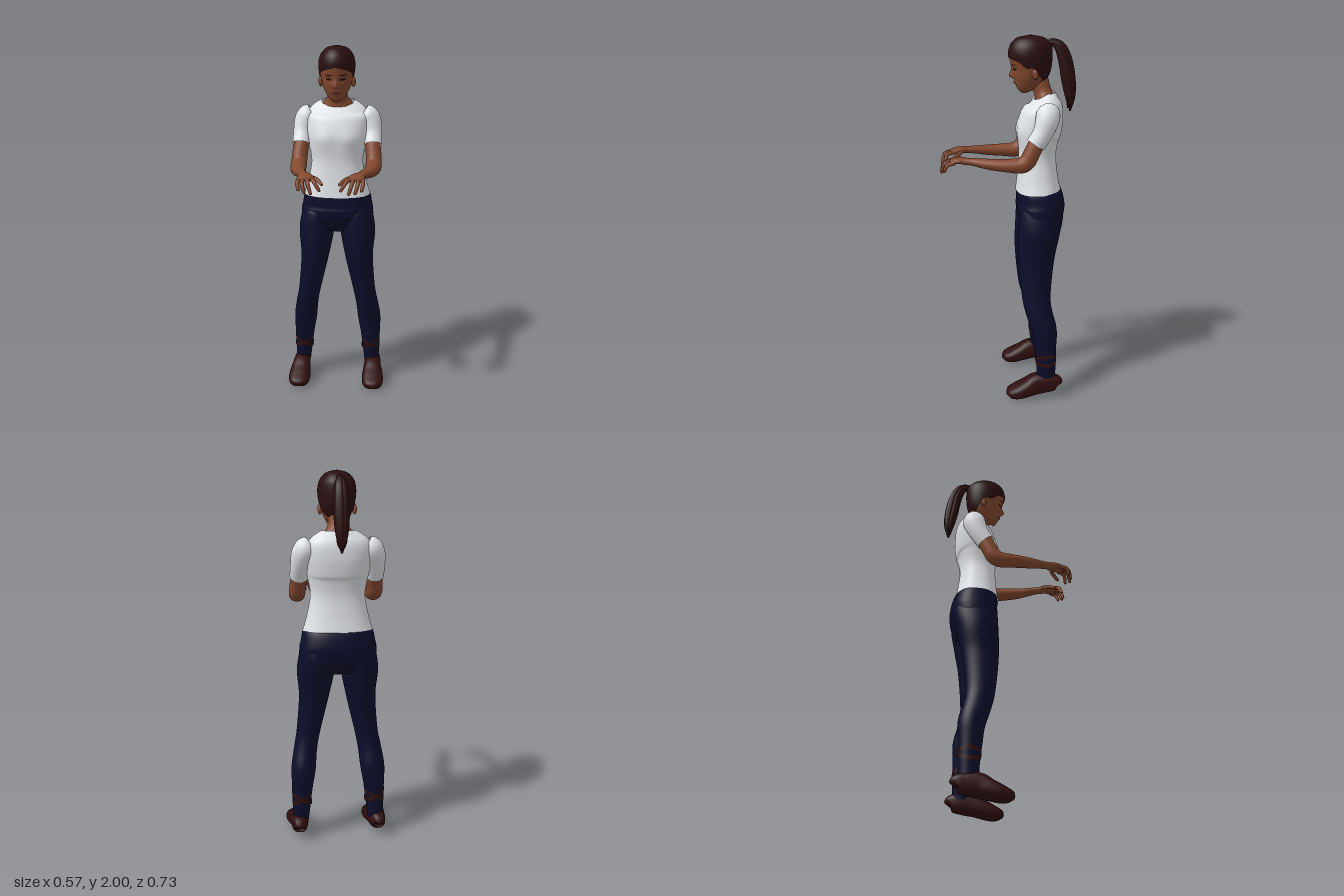
import * as THREE from 'three';

const paint = (name, color, side = THREE.FrontSide) => {
  const m = new THREE.MeshStandardMaterial({ color, side });
  m.name = name;
  return m;
};

// Smooth interpolation of rows [key, a, b, ...] at a given key
function at(rows, k) {
  const last = rows.length - 1;
  k = Math.min(Math.max(k, rows[0][0]), rows[last][0]);
  let i = 0;
  while (i < last - 1 && k > rows[i + 1][0]) i++;
  const p = rows[i], q = rows[i + 1], o = rows[Math.max(i - 1, 0)], r = rows[Math.min(i + 2, last)];
  const h = q[0] - p[0], t = (k - p[0]) / h;
  return p.slice(1).map((a, c) => {
    const b = q[c + 1];
    const ma = (b - o[c + 1]) / (q[0] - o[0]) * h, mb = (r[c + 1] - a) / (r[0] - p[0]) * h;
    return a + t * ma + t * t * (3 * (b - a) - 2 * ma - mb) + t * t * t * (2 * (a - b) + ma + mb);
  });
}

// Surface of n + 1 closed rings with m points each; fn(u, angle) gives [x, y, z]
function surface(name, material, n, m, fn) {
  const pos = [], idx = [];
  for (let i = 0; i <= n; i++) {
    for (let j = 0; j < m; j++) {
      pos.push(...fn(i / n, j / m * Math.PI * 2));
      if (i === n) continue;
      const a = i * m + j, b = i * m + (j + 1) % m;
      idx.push(a, b, a + m, b, b + m, a + m);
    }
  }
  const g = new THREE.BufferGeometry();
  g.setAttribute('position', new THREE.Float32BufferAttribute(pos, 3));
  g.setIndex(idx);
  g.computeVertexNormals();
  const mesh = new THREE.Mesh(g, material);
  mesh.name = name;
  return mesh;
}

// Body part swept through rows [x, y, z, side radius, other radius]
function limb(name, material, rows, { m = 28, power = 2, ripple = 0, warp = null } = {}) {
  const keyed = rows.map((r, i) => [i, r[0], r[1], r[2], r[3], r[4] ?? r[3]]);
  const end = rows.length - 1;
  const round = (v) => Math.sign(v) * Math.abs(v) ** (2 / power);
  return surface(name, material, end * 6, m, (u, a) => {
    const t = u * end, c = at(keyed, t);
    const p = at(keyed, t - 0.05), q = at(keyed, t + 0.05);
    const T = new THREE.Vector3(q[0] - p[0], q[1] - p[1], q[2] - p[2]).normalize();
    const N = new THREE.Vector3(1, 0, 0).addScaledVector(T, -T.x).normalize();
    const B = new THREE.Vector3().crossVectors(T, N);
    const k = 1 + ripple * Math.cos(a * 9);
    const v = new THREE.Vector3(c[0], c[1], c[2])
      .addScaledVector(N, round(Math.cos(a)) * Math.max(c[3], 0) * k)
      .addScaledVector(B, round(Math.sin(a)) * Math.max(c[4], 0) * k);
    if (warp) warp(v);
    return [v.x, v.y, v.z];
  });
}

// Head outline: height, front z, back z, half width
const HEAD = [
  [1.70, -0.075, -0.10, 0.012], [1.715, -0.058, -0.14, 0.035], [1.74, -0.045, -0.18, 0.055],
  [1.78, -0.033, -0.21, 0.075], [1.82, -0.024, -0.225, 0.085], [1.86, -0.014, -0.23, 0.092],
  [1.90, -0.008, -0.232, 0.094], [1.94, -0.016, -0.228, 0.086], [1.965, -0.033, -0.212, 0.07],
  [1.985, -0.062, -0.182, 0.045], [1.996, -0.115, -0.125, 0.003],
];
const bell = (d, w) => Math.exp(-((d / w) ** 2));
// Nose, eye sockets and lips as bumps on the face
const relief = (x, y) => 0.024 * bell(x, 0.012) * bell(y - 1.788, y > 1.788 ? 0.028 : 0.01)
  - 0.007 * bell(Math.abs(x) - 0.036, 0.018) * bell(y - 1.826, 0.013)
  + 0.005 * bell(x, 0.025) * bell(y - 1.755, 0.009);

function headPoint(y, a, grow = 0) {
  const [front, back, w] = at(HEAD, y);
  const x = (w + grow) * Math.sin(a);
  const z = (front + back) / 2 + ((front - back) / 2 + grow) * Math.cos(a);
  return [x, y + grow * 0.66, z + (Math.cos(a) > 0 && !grow ? relief(x, y) : 0)];
}

// Thin painted oval lying on the face
function facePatch(name, material, cx, cy, w, h, slant = 0) {
  return surface(name, material, 5, 20, (u, a) => {
    const x = cx + (1 - u) * w * Math.cos(a);
    const y = cy + (1 - u) * h * Math.sin(a) + slant * (x - cx);
    const [front, back, half] = at(HEAD, y);
    const z = (front + back) / 2 + (front - back) / 2 * Math.sqrt(1 - (x / half) ** 2);
    return [x, y, z + relief(x, y) + 0.0025];
  });
}

export function createModel() {
  const skin = paint('skin', 0x84492f);
  const hair = paint('hair', 0x2a0f10, THREE.DoubleSide);
  const shirt = paint('shirt white', 0xe6e9ed, THREE.DoubleSide);
  const navy = paint('trouser navy', 0x0c0d2a, THREE.DoubleSide);
  const leather = paint('shoe brown', 0x300f0f, THREE.DoubleSide);
  const dark = paint('eye dark', 0x140908);
  const lip = paint('lip', 0x5e2c22);
  const model = new THREE.Group();
  model.name = 'woman';
  const add = (...parts) => model.add(...parts);

  // Head, neck and painted face
  add(surface('head', skin, 70, 72, (u, a) => headPoint(1.70 + 0.296 * Math.sin(u * Math.PI / 2), a)));
  add(limb('neck', skin, [
    [0, 1.61, -0.2, 0.08, 0.045], [0, 1.665, -0.197, 0.086, 0.05], [0, 1.69, -0.193, 0.078, 0.048],
    [0, 1.712, -0.186, 0.06, 0.047], [0, 1.75, -0.175, 0.052, 0.047], [0, 1.82, -0.155, 0.05, 0.05],
  ]));
  add(facePatch('lips', lip, 0, 1.755, 0.024, 0.008));

  // Hair drawn back from the hairline into a ponytail
  const hairline = [[0, 1.885], [0.9, 1.862], [1.3, 1.83], [1.6, 1.832], [1.9, 1.80], [2.4, 1.76], [Math.PI, 1.74]];
  add(surface('hairCap', hair, 28, 64, (u, a) => {
    const low = at(hairline, a > Math.PI ? 2 * Math.PI - a : a)[0];
    return headPoint(low + (1.996 - low) * Math.sin(u * Math.PI / 2), a, 0.006);
  }));
  add(limb('ponytail', hair, [
    [0, 1.955, -0.21, 0.014, 0.018], [0, 1.962, -0.24, 0.018, 0.02], [0, 1.935, -0.278, 0.03, 0.03],
    [0, 1.87, -0.305, 0.037, 0.036], [0, 1.77, -0.324, 0.038, 0.037], [0, 1.68, -0.336, 0.028, 0.027],
    [0, 1.60, -0.338, 0.004, 0.004],
  ], { m: 54, ripple: 0.06 }));
  for (let i = -2; i <= 2; i++) {
    const z = -0.333 - 0.008 * (i % 2);
    add(limb('ponytailWisp', hair, [
      [i * 0.009, 1.72, z, 0.012], [i * 0.009, 1.66, z, 0.009],
      [i * 0.007, 1.60 + Math.abs(i) * 0.012, z, 0.001],
    ], { m: 8 }));
  }

  // Shirt body with a neckline dipping at the front
  add(limb('shirtBody', shirt, [
    [0, 1.175, -0.167, 0.187, 0.123], [0, 1.25, -0.164, 0.165, 0.111], [0, 1.36, -0.162, 0.145, 0.101],
    [0, 1.45, -0.163, 0.158, 0.11], [0, 1.50, -0.169, 0.168, 0.12], [0, 1.58, -0.187, 0.176, 0.113],
    [0, 1.63, -0.199, 0.17, 0.098], [0, 1.67, -0.2, 0.138, 0.074], [0, 1.70, -0.2, 0.09, 0.055],
  ], { m: 56, power: 2.3, warp: (v) => {
    if (v.z > -0.15) v.z += 0.008 * bell(Math.abs(v.x) - 0.07, 0.045) * bell(v.y - 1.49, 0.05);
    if (v.y > 1.6) v.y -= (v.y - 1.6) * 0.35 * Math.min(Math.max((v.z + 0.2) / 0.055, -0.1), 1);
  } }));

  // Trouser seat
  add(limb('trouserSeat', navy, [
    [0, 1.195, -0.167, 0.176, 0.114], [0, 1.165, -0.169, 0.19, 0.122], [0, 1.12, -0.178, 0.198, 0.13],
    [0, 1.08, -0.18, 0.206, 0.133], [0, 1.02, -0.175, 0.198, 0.122], [0, 0.97, -0.162, 0.12, 0.09],
    [0, 0.95, -0.16, 0.02, 0.03],
  ], { m: 48, power: 2.4 }));

  for (const s of [1, -1]) {
    const side = s > 0 ? 'left' : 'right';
    const half = (name, material, rows, options) =>
      add(limb(side + name, material, rows.map(([x, ...rest]) => [x * s, ...rest]), options));

    // Eye, brow and ear
    add(facePatch(side + 'Eye', dark, s * 0.037, 1.826, 0.017, 0.006, s * 0.1));
    add(facePatch(side + 'Brow', hair, s * 0.039, 1.849, 0.022, 0.0035, s * 0.08));
    const ear = new THREE.Mesh(new THREE.SphereGeometry(1, 16, 12), skin);
    ear.name = side + 'Ear';
    ear.scale.set(0.012, 0.028, 0.017);
    ear.position.set(s * 0.09, 1.805, -0.138);
    ear.rotation.set(0.2, s * -0.3, 0);
    add(ear);

    // Sleeve and bent arm
    half('Sleeve', shirt, [
      [0.14, 1.63, -0.2, 0.045], [0.163, 1.613, -0.2, 0.062], [0.183, 1.58, -0.194, 0.062],
      [0.196, 1.52, -0.172, 0.053], [0.2, 1.457, -0.133, 0.05],
    ]);
    half('Arm', skin, [
      [0.2, 1.51, -0.165, 0.038], [0.2, 1.46, -0.137, 0.043], [0.206, 1.41, -0.112, 0.043],
      [0.208, 1.37, -0.09, 0.044], [0.207, 1.35, -0.055, 0.044, 0.042], [0.202, 1.349, 0.01, 0.043, 0.035],
      [0.186, 1.353, 0.1, 0.037, 0.029], [0.157, 1.362, 0.195, 0.026, 0.02], [0.148, 1.364, 0.24, 0.027, 0.018],
    ]);
    half('Palm', skin, [
      [0.15, 1.364, 0.225, 0.026, 0.018], [0.138, 1.366, 0.255, 0.039, 0.018], [0.13, 1.363, 0.285, 0.043, 0.016],
      [0.129, 1.356, 0.308, 0.038, 0.012], [0.129, 1.352, 0.318, 0.008, 0.003],
    ]);

    // Fingers: base, knuckle, tip
    const fingers = [
      ['LittleFinger', [0.162, 1.357, 0.29], [0.167, 1.345, 0.327], [0.161, 1.312, 0.343]],
      ['RingFinger', [0.14, 1.359, 0.297], [0.142, 1.346, 0.342], [0.129, 1.303, 0.358]],
      ['MiddleFinger', [0.118, 1.36, 0.297], [0.112, 1.347, 0.343], [0.097, 1.299, 0.359]],
      ['IndexFinger', [0.098, 1.36, 0.29], [0.08, 1.35, 0.33], [0.055, 1.311, 0.342]],
      ['Thumb', [0.112, 1.36, 0.248], [0.075, 1.352, 0.268], [0.046, 1.333, 0.3]],
    ];
    for (const [name, base, knuckle, tip] of fingers) {
      const beyond = tip.map((v, i) => v + (v - knuckle[i]) * 0.15);
      half(name, skin, [[...base, 0.012], [...knuckle, 0.0105], [...tip, 0.008], [...beyond, 0.001]], { m: 12 });
    }

    // Trouser leg
    half('TrouserLeg', navy, [
      [0.1, 1.13, -0.178, 0.07, 0.09], [0.112, 1.06, -0.178, 0.09, 0.118], [0.12, 0.95, -0.165, 0.1, 0.113],
      [0.13, 0.8, -0.15, 0.08, 0.1], [0.161, 0.6, -0.15, 0.064, 0.08], [0.179, 0.5, -0.166, 0.064, 0.073],
      [0.192, 0.4, -0.194, 0.067, 0.07], [0.2, 0.3, -0.2, 0.058, 0.062], [0.205, 0.2, -0.205, 0.05, 0.055],
      [0.21, 0.1, -0.205, 0.043, 0.052],
    ], { m: 36 });

    // Crossed straps round the ankle
    for (const tilt of [0.5, -0.5]) {
      half('AnkleStrap', leather, [[0.2035, 0.222, -0.204, 0.0545, 0.0595], [0.2025, 0.242, -0.203, 0.0555, 0.0605]],
        { m: 32, warp: (v) => { v.y += tilt * (v.x - s * 0.203); } });
    }

    // Shoe from heel to toe
    half('Shoe', leather, [
      [0.222, 0.075, -0.277, 0.012, 0.014], [0.222, 0.085, -0.266, 0.036, 0.042], [0.218, 0.086, -0.22, 0.046, 0.055],
      [0.217, 0.081, -0.155, 0.052, 0.061], [0.219, 0.06, -0.1, 0.061, 0.05], [0.221, 0.041, -0.045, 0.063, 0.041],
      [0.221, 0.031, 0, 0.048, 0.027], [0.221, 0.024, 0.018, 0.012, 0.008],
    ], { m: 32, power: 2.5 });
  }
  return model;
}
